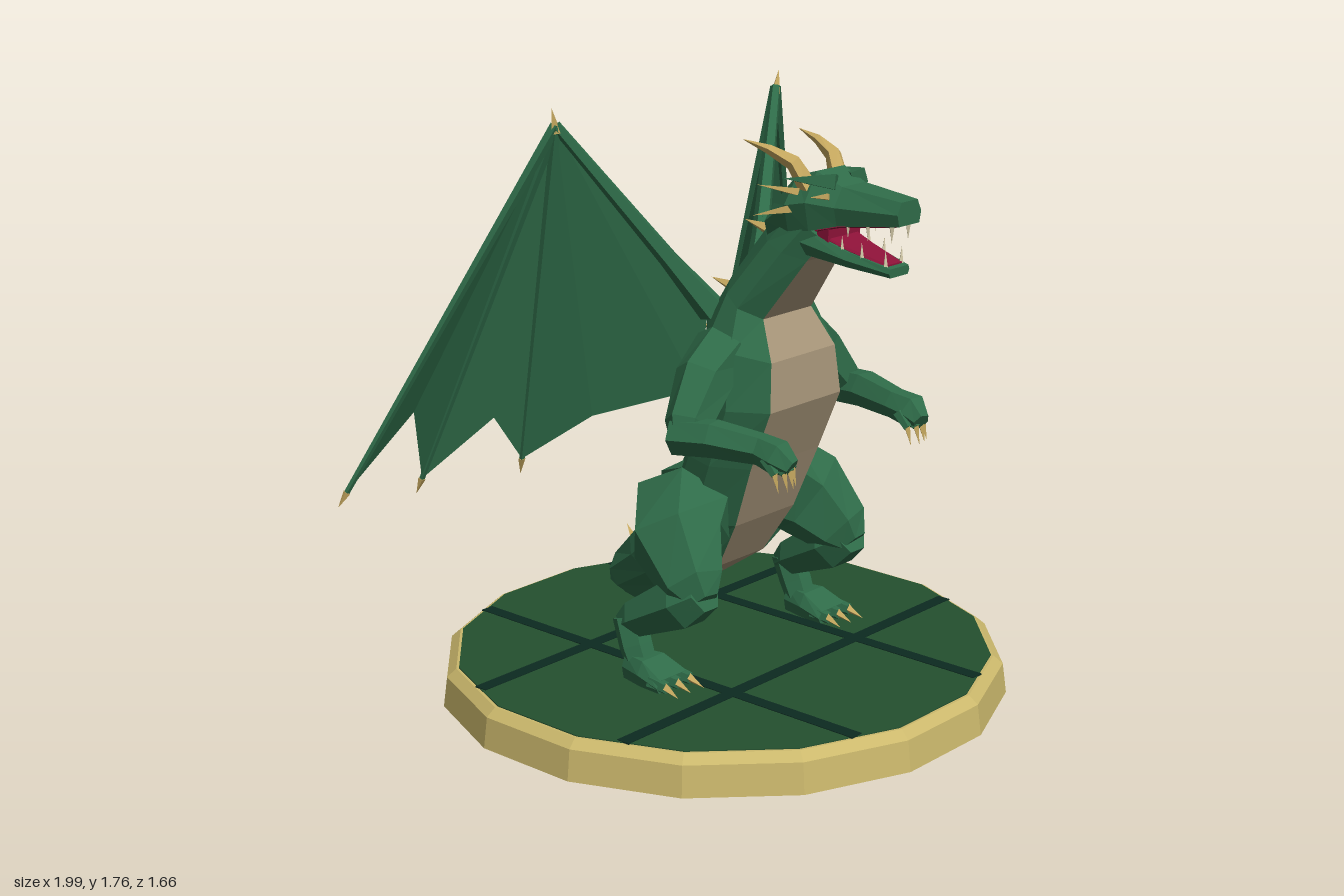
import * as THREE from 'three';

const V = (x, y, z) => new THREE.Vector3(x, y, z);
const mat = (name, color) => {
  const m = new THREE.MeshStandardMaterial({ color, side: THREE.DoubleSide });
  m.name = name;
  return m;
};

export function createModel() {
  const green = mat('scale green', 0x2f6c49);
  const floorGreen = mat('floor green', 0x24502f);
  const groove = mat('groove dark', 0x0c2a20);
  const gold = mat('rim gold', 0xcbb86c);
  const horn = mat('horn', 0xc8aa60);
  const tan = mat('belly tan', 0xa8967a);
  const red = mat('mouth red', 0x8c1238);
  const ivory = mat('tooth ivory', 0xd6ccaa);

  const root = new THREE.Group();
  root.name = 'wingedBeast';

  // Adds a faceted mesh
  function add(name, geometry, material) {
    const g = geometry.index ? geometry.toNonIndexed() : geometry;
    g.computeVertexNormals();
    const mesh = new THREE.Mesh(g, material);
    mesh.name = name;
    root.add(mesh);
    return mesh;
  }

  function fromTriangles(points) {
    return new THREE.BufferGeometry().setFromPoints(points);
  }

  // Skins a row of rings; keep(j) picks which strips to build
  function loft(rings, keep = () => true, caps = true) {
    const p = [], n = rings[0].length;
    for (let i = 0; i < rings.length - 1; i++) {
      for (let j = 0; j < n; j++) {
        if (!keep(j)) continue;
        const k = (j + 1) % n, r = rings[i], s = rings[i + 1];
        p.push(r[j], r[k], s[k], r[j], s[k], s[j]);
      }
    }
    if (caps) {
      const a = rings[0], b = rings[rings.length - 1];
      for (let j = 1; j < n - 1; j++) p.push(a[0], a[j + 1], a[j], b[0], b[j], b[j + 1]);
    }
    return fromTriangles(p);
  }

  // Tapered limb through [x, y, z, radius] stations
  function limb(name, stations, sides = 6, side = 1, material = green) {
    const c = stations.map(s => V(s[0] * side, s[1], s[2]));
    const rings = c.map((p, i) => {
      const t = c[Math.min(i + 1, c.length - 1)].clone().sub(c[Math.max(i - 1, 0)]).normalize();
      const ref = Math.abs(t.x) > 0.9 ? V(0, 1, 0) : V(1, 0, 0);
      const u = t.clone().cross(ref).normalize(), v = t.clone().cross(u);
      return Array.from({ length: sides }, (_, j) => {
        const a = (j + 0.5) / sides * Math.PI * 2, r = stations[i][3];
        return p.clone().addScaledVector(u, Math.cos(a) * r).addScaledVector(v, Math.sin(a) * r);
      });
    });
    return add(name, loft(rings), material);
  }

  function spike(name, a, b, r, material = horn) {
    const d = b.clone().sub(a);
    const m = add(name, new THREE.CylinderGeometry(0, r, d.length(), 4), material);
    m.position.copy(a).addScaledVector(d, 0.5);
    m.quaternion.setFromUnitVectors(V(0, 1, 0), d.normalize());
    return m;
  }

  // Plinth
  const disc = (name, top, bottom, h, y, material) => {
    const m = add(name, new THREE.CylinderGeometry(top, bottom, h, 16), material);
    m.rotation.y = Math.PI / 16;
    m.position.y = y + h / 2;
  };
  disc('plinthBase', 0.833, 0.845, 0.09, 0, gold);
  disc('plinthBevel', 0.805, 0.833, 0.024, 0.09, gold);
  disc('plinthFloor', 0.797, 0.797, 0.004, 0.113, floorGreen);
  for (const s of [-1, 1]) {
    add('floorGroove', new THREE.BoxGeometry(1.46, 0.004, 0.042), groove).position.set(0, 0.117, s * 0.28);
    add('floorGroove', new THREE.BoxGeometry(0.042, 0.004, 1.46), groove).position.set(s * 0.28, 0.117, 0);
  }

  // Neck, torso and tail: x, front y, front z, back y, back z, half width, belly half width
  const spine = [
    [0, 1.41, 0.42, 1.53, 0.30, 0.095, 0.06],
    [0, 1.35, 0.37, 1.41, 0.20, 0.115, 0.075],
    [0, 1.17, 0.24, 1.26, 0.09, 0.155, 0.105],
    [0, 1.06, 0.30, 1.13, 0.02, 0.205, 0.14],
    [0, 0.92, 0.31, 0.92, 0.00, 0.22, 0.155],
    [0, 0.74, 0.235, 0.76, -0.04, 0.22, 0.15],
    [0, 0.55, 0.16, 0.575, -0.13, 0.2, 0.13],
    [0, 0.40, 0.07, 0.48, -0.24, 0.165, 0.1],
    [0, 0.29, -0.10, 0.39, -0.32, 0.13, 0.08],
    [0.03, 0.18, -0.28, 0.30, -0.41, 0.11, 0.07],
    [0.12, 0.13, -0.44, 0.24, -0.49, 0.09, 0.055],
    [0.26, 0.12, -0.54, 0.22, -0.545, 0.07, 0.045],
    [0.41, 0.12, -0.55, 0.21, -0.55, 0.06, 0.04],
    [0.54, 0.13, -0.47, 0.22, -0.48, 0.05, 0.03],
    [0.62, 0.17, -0.36, 0.25, -0.38, 0.035, 0.02],
    [0.645, 0.31, -0.25, 0.315, -0.25, 0.005, 0.003],
  ];
  const fronts = spine.map(s => V(s[0], s[1], s[2]));
  const backs = spine.map(s => V(s[0], s[3], s[4]));
  const mids = fronts.map((f, i) => f.clone().lerp(backs[i], 0.5));
  const bodyRings = spine.map((s, i) => {
    const d = mids[Math.min(i + 1, 15)].clone().sub(mids[Math.max(i - 1, 0)]);
    const across = V(-d.z, 0, d.x).normalize();
    const up = backs[i].clone().sub(fronts[i]).multiplyScalar(0.5);
    const w = s[5], b = s[6];
    return [[b, -1], [-b, -1], [-w, -0.3], [-0.9 * w, 0.4], [-0.45 * w, 1], [0.45 * w, 1], [0.9 * w, 0.4], [w, -0.3]]
      .map(([u, v]) => mids[i].clone().addScaledVector(across, u).addScaledVector(up, v));
  });
  add('body', loft(bodyRings, j => j > 0), green);
  add('belly', loft(bodyRings, j => j === 0, false), tan);

  // Spikes down the back and tail
  for (const t of [1.1, 2.4, 3.3, 4.2, 5.2, 6, 7.3, 8.6, 9.7, 10.5, 11.3, 12.1, 12.9, 13.7]) {
    const i = Math.floor(t), a = backs[i].clone().lerp(backs[i + 1], t - i);
    const along = backs[i + 1].clone().sub(backs[i]).normalize();
    const dir = t < 7 ? V(0, 0.2, -1) : along.multiplyScalar(0.7).add(V(0, 0.9, 0));
    const len = t < 8 ? 0.125 : 0.09;
    a.addScaledVector(dir.normalize(), -0.015);
    spike('backSpike', a, a.clone().addScaledVector(dir, len), t < 8 ? 0.026 : 0.02);
  }

  // Head pieces: z, bottom, top, middle half width, top half width
  const headRings = rows => rows.map(([z, b, t, w, k]) => {
    const m = b + (t - b) * 0.5;
    return [V(w * 0.85, b, z), V(-w * 0.85, b, z), V(-w, m, z), V(-k, t, z), V(k, t, z), V(w, m, z)];
  });
  add('skull', loft(headRings([
    [0.66, 1.48, 1.545, 0.052, 0.035], [0.47, 1.46, 1.565, 0.085, 0.05], [0.39, 1.44, 1.6, 0.112, 0.06],
    [0.32, 1.43, 1.58, 0.115, 0.06], [0.23, 1.4, 1.49, 0.09, 0.05]])), green);
  add('lowerJaw', loft(headRings([
    [0.63, 1.335, 1.36, 0.045, 0.04], [0.5, 1.35, 1.392, 0.072, 0.06], [0.36, 1.37, 1.44, 0.095, 0.08]])), green);
  add('tongue', loft(headRings([
    [0.615, 1.358, 1.368, 0.034, 0.03], [0.5, 1.388, 1.4, 0.056, 0.05], [0.4, 1.42, 1.435, 0.07, 0.065]])), red);
  add('palate', loft(headRings([
    [0.64, 1.474, 1.482, 0.04, 0.035], [0.47, 1.454, 1.462, 0.07, 0.06], [0.4, 1.435, 1.445, 0.08, 0.07]])), red);
  add('throat', new THREE.BoxGeometry(0.14, 0.08, 0.04), red).position.set(0, 1.43, 0.42);

  for (const s of [-1, 1]) {
    const P = (x, y, z) => V(x * s, y, z);

    // Horns, cheek spikes, eyes and teeth
    limb('horn', [[0.065, 1.55, 0.37, 0.03], [0.085, 1.62, 0.33, 0.024], [0.105, 1.65, 0.26, 0.014], [0.12, 1.67, 0.18, 0.001]], 5, s, horn);
    spike('cheekSpike', P(0.09, 1.5, 0.35), P(0.165, 1.475, 0.25), 0.018);
    spike('templeSpike', P(0.085, 1.54, 0.35), P(0.135, 1.555, 0.24), 0.014);
    spike('browRidge', P(0.05, 1.575, 0.45), P(0.12, 1.58, 0.32), 0.03, green);
    spike('eye', P(0.082, 1.54, 0.45), P(0.103, 1.535, 0.40), 0.012);
    for (const [x, z] of [[0.036, 0.63], [0.05, 0.56], [0.06, 0.5]]) {
      spike('upperTooth', P(x, 1.478, z), P(x, 1.43, z), 0.009, ivory);
      spike('lowerTooth', P(x - 0.002, 1.36 + (0.63 - z) * 0.2, z - 0.02), P(x, 1.41 + (0.63 - z) * 0.2, z - 0.02), 0.008, ivory);
    }

    // Arm and fingers
    limb('upperArm', [[0.15, 1.08, 0.14, 0.09], [0.24, 1.01, 0.14, 0.085], [0.33, 0.9, 0.16, 0.068], [0.365, 0.85, 0.18, 0.04]], 6, s);
    limb('forearm', [[0.36, 0.87, 0.14, 0.055], [0.335, 0.88, 0.26, 0.055], [0.3, 0.87, 0.4, 0.045], [0.3, 0.86, 0.46, 0.05], [0.29, 0.835, 0.5, 0.028]], 6, s);
    for (const k of [-1.5, -0.5, 0.5, 1.5]) {
      const x = 0.295 + k * 0.025, z = 0.49 - Math.abs(k) * 0.012;
      limb('finger', [[x, 0.86, z - 0.03, 0.018], [x, 0.82, z + 0.005, 0.013]], 5, s);
      spike('fingerClaw', P(x, 0.825, z + 0.003), P(x, 0.77, z + 0.018), 0.011);
    }

    // Leg and foot
    limb('thigh', [[0.1, 0.6, -0.01, 0.13], [0.2, 0.585, 0.025, 0.155], [0.29, 0.53, 0.08, 0.14], [0.33, 0.43, 0.18, 0.095], [0.335, 0.39, 0.22, 0.05]], 6, s);
    limb('shin', [[0.33, 0.42, 0.22, 0.06], [0.335, 0.38, 0.15, 0.085], [0.35, 0.29, -0.02, 0.06], [0.355, 0.26, -0.07, 0.035]], 6, s);
    limb('ankle', [[0.355, 0.29, -0.05, 0.05], [0.36, 0.21, -0.02, 0.05], [0.36, 0.14, 0.01, 0.045]], 6, s);
    add('foot', loft(headRings([
      [0.13, 0.117, 0.155, 0.072, 0.055], [0.05, 0.117, 0.19, 0.066, 0.045], [-0.03, 0.117, 0.19, 0.045, 0.03]])
      .map(r => r.map(p => p.add(V(0.363 * s, 0, 0))))), green);
    for (const k of [-1, 0, 1]) {
      const x = 0.365 + k * 0.046;
      limb('toe', [[x, 0.14, 0.09, 0.024], [x + k * 0.004, 0.137, 0.15, 0.018]], 5, s);
      spike('toeClaw', P(x + k * 0.004, 0.14, 0.145), P(x + k * 0.008, 0.12, 0.2), 0.014);
    }

    // Wing: scalloped membrane fanned from the wrist, with bones and claws
    const wrist = [0.465, 1.71, -0.2];
    const tips = [[0.975, 0.71, -0.535], [0.65, 0.66, -0.59], [0.412, 0.7, -0.42]];
    const edge = [tips[0], [0.75, 0.9, -0.5], tips[1], [0.5, 0.84, -0.44], tips[2],
      [0.3, 0.84, -0.24], [0.1, 0.92, -0.01], [0.1, 1.22, 0.04]];
    const tri = [];
    for (let i = 0; i < edge.length - 1; i++) tri.push(P(...wrist), P(...edge[i]), P(...edge[i + 1]));
    add('wingMembrane', fromTriangles(tri), green);
    limb('wingArm', [[0.09, 1.16, 0.04, 0.045], [0.2, 1.32, -0.03, 0.028], [...wrist, 0.016]], 5, s);
    for (const tip of tips) {
      limb('wingFinger', [[...wrist, 0.016], [...tip, 0.008]], 4, s);
      const a = P(...tip), d = a.clone().sub(P(...wrist)).normalize();
      spike('wingTipClaw', a, a.clone().addScaledVector(d, 0.05), 0.011);
    }
    spike('wristClaw', P(0.465, 1.69, -0.2), P(0.48, 1.76, -0.2), 0.018);
  }
  return root;
}
